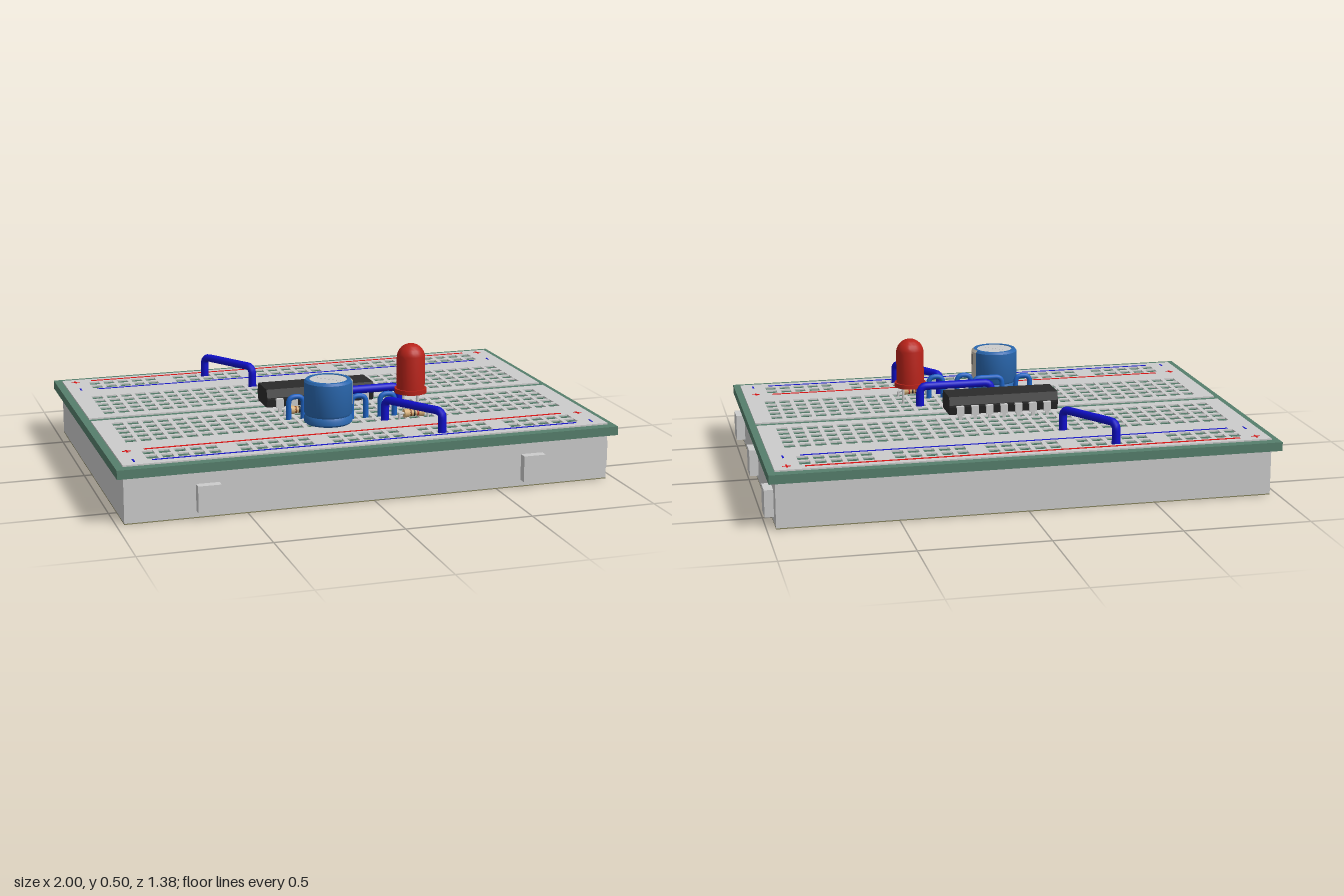
import * as THREE from 'three';
import { mergeGeometries, toCreasedNormals } from 'three/addons/utils/BufferGeometryUtils.js';

const PITCH = 0.0603;
const X0 = -0.877;            // first terminal column
const RAIL_X0 = -0.845;       // first rail column
const TOP = 0.228, PLATE_TOP = 0.222, PLATE_BOTTOM = 0.187;
const ROW = { f: 0.092, g: 0.153, h: 0.213, i: 0.274, j: 0.335 };
const col = (k) => X0 + k * PITCH;
const railCol = (k) => RAIL_X0 + k * PITCH;

const mat = (color, double) =>
  new THREE.MeshStandardMaterial({ color, side: double ? THREE.DoubleSide : THREE.FrontSide });
const GREY = mat(0xcccccc), GREEN = mat(0x567f6c), DARK = mat(0x2c3a35), BLACK = mat(0x2b2b2b);
const RED = mat(0xdd1111), BLUE = mat(0x1515cc), WIRE = mat(0x1010cc), JUMPER = mat(0x1c62c4);
const SLEEVE = mat(0x2a68b0), METAL = mat(0xc4c4c4), TAN = mat(0xd8b078), LED = mat(0xb8231a);

function add(parent, name, geometry, material) {
  const mesh = new THREE.Mesh(geometry, material);
  mesh.name = name;
  parent.add(mesh);
  return mesh;
}

// Box given by its lower and upper corners
function box(x0, x1, y0, y1, z0, z1) {
  return new THREE.BoxGeometry(x1 - x0, y1 - y0, z1 - z0)
    .translate((x0 + x1) / 2, (y0 + y1) / 2, (z0 + z1) / 2);
}

// Mirror-symmetric (z, y) profile extruded along x
function extrudeX(points, x0, x1) {
  const shape = new THREE.Shape(points.map(([z, y]) => new THREE.Vector2(z, y)));
  return new THREE.ExtrudeGeometry(shape, { depth: x1 - x0, bevelEnabled: false })
    .rotateY(Math.PI / 2).translate(x0, 0, 0);
}

function rectPath(Type, x0, x1, z0, z1) {
  return new Type([[x0, -z1], [x1, -z1], [x1, -z0], [x0, -z0]].map(([x, y]) => new THREE.Vector2(x, y)));
}

// Horizontal plate pierced by square holes of a given size
function piercedPlate(x0, x1, z0, z1, y0, y1, holes, size) {
  const shape = rectPath(THREE.Shape, x0, x1, z0, z1);
  const s = size / 2;
  shape.holes = holes.map(([x, z]) => rectPath(THREE.Path, x - s, x + s, z - s, z + s));
  return new THREE.ExtrudeGeometry(shape, { depth: y1 - y0, bevelEnabled: false })
    .rotateX(-Math.PI / 2).translate(0, y0, 0);
}

// Contact positions on one half of the board
function holesOnSide(side) {
  const list = [];
  for (const z of Object.values(ROW)) for (let k = 0; k < 30; k++) list.push([col(k), side * z]);
  for (const z of [0.511, 0.571])
    for (let k = 0; k < 29; k++) if (k % 6 !== 5) list.push([railCol(k), side * z]);
  return list;
}

// Bent wire: up, across and down, with rounded corners
function bridge([ax, az], [bx, bz], height, radius, bend) {
  const a = new THREE.Vector3(ax, height, az), b = new THREE.Vector3(bx, height, bz);
  const dir = b.clone().sub(a).normalize().multiplyScalar(bend);
  const down = (p, y) => new THREE.Vector3(p.x, y, p.z);
  const a1 = down(a, height - bend), a2 = a.clone().add(dir);
  const b1 = b.clone().sub(dir), b2 = down(b, height - bend);
  const path = new THREE.CurvePath();
  path.add(new THREE.LineCurve3(down(a, 0.195), a1));
  path.add(new THREE.QuadraticBezierCurve3(a1, a, a2));
  path.add(new THREE.LineCurve3(a2, b1));
  path.add(new THREE.QuadraticBezierCurve3(b1, b, b2));
  path.add(new THREE.LineCurve3(b2, down(b, 0.195)));
  return new THREE.TubeGeometry(path, 48, radius, 10);
}

function leg(x, z, top) {
  return new THREE.CylinderGeometry(0.006, 0.006, top - 0.195, 8).translate(x, (top + 0.195) / 2, z);
}

function buildBoard() {
  const g = new THREE.Group();
  g.name = 'board';
  // Base with central channel, and the adhesive sheet beneath
  add(g, 'base', extrudeX([[-0.65, 0.004], [0.65, 0.004], [0.65, PLATE_BOTTOM], [0.021, PLATE_BOTTOM],
    [0.021, 0.158], [-0.021, 0.158], [-0.021, PLATE_BOTTOM], [-0.65, PLATE_BOTTOM]], -0.97, 0.965), GREY);
  add(g, 'adhesiveSheet', box(-0.97, 0.965, 0, 0.004, -0.65, 0.65), mat(0x87845f));
  // Green plate with small sockets
  const back = holesOnSide(-1), front = holesOnSide(1);
  add(g, 'greenPlate', piercedPlate(-1, 0.992, -0.69, 0.69, PLATE_BOTTOM, PLATE_TOP, [...back, ...front], 0.022), GREEN);
  for (const [side, holes] of [[-1, back], [1, front]]) {
    const z0 = side > 0 ? 0.021 : -0.65, z1 = side > 0 ? 0.65 : -0.021;
    add(g, 'topCover', piercedPlate(-0.97, 0.965, z0, z1, PLATE_TOP, TOP, holes, 0.043), GREY);
    add(g, 'contactStrip', box(-0.92, 0.91, 0.1875, 0.19, z0 + 0.03, z1 - 0.03), DARK);
  }
  // Rail stripes and polarity marks
  const line = (name, x, z, w, d, m) => add(g, name, box(x - w / 2, x + w / 2, TOP - 0.001, TOP + 0.001, z - d / 2, z + d / 2), m);
  for (const [redZ, blueZ, plusZ, minusZ] of [[-0.616, -0.471, -0.605, -0.481], [0.465, 0.61, 0.475, 0.6]]) {
    line('redStripe', -0.002, redZ, 1.7, 0.012, RED);
    line('blueStripe', -0.002, blueZ, 1.7, 0.011, BLUE);
    for (const x of [-0.92, 0.915]) {
      line('plusMark', x, plusZ, 0.034, 0.007, RED);
      line('plusMark', x, plusZ, 0.007, 0.034, RED);
      line('minusMark', x, minusZ, 0.007, 0.034, BLUE);
    }
  }
  // Interlocking tabs on the front and on the +x end
  for (const x of [-0.653, 0.645]) add(g, 'frontTab', box(x - 0.045, x + 0.045, 0.028, 0.132, 0.64, 0.684), GREY);
  for (const z of [-0.54, 0, 0.54]) add(g, 'sideTab', box(0.96, 1, 0.028, 0.134, z - 0.045, z + 0.045), GREY);
  return g;
}

function buildChip() {
  const g = new THREE.Group();
  g.name = 'chip';
  add(g, 'chipBody', extrudeX([[-0.064, 0.237], [0.064, 0.237], [0.074, 0.27], [0.074, 0.278], [0.062, 0.311],
    [-0.062, 0.311], [-0.074, 0.278], [-0.074, 0.27]], -0.262, 0.19), BLACK);
  // Two rows of seven bent pins
  const pins = [];
  for (let k = 11; k <= 17; k++) for (const s of [-1, 1]) {
    const x = col(k), z = s * 0.088;
    pins.push(box(x - 0.015, x + 0.015, 0.268, 0.276, Math.min(s * 0.07, z), Math.max(s * 0.07, z)));
    pins.push(box(x - 0.015, x + 0.015, 0.238, 0.276, z - 0.004, z + 0.004));
    pins.push(box(x - 0.007, x + 0.007, 0.195, 0.238, z - 0.004, z + 0.004));
  }
  add(g, 'chipPins', mergeGeometries(pins), METAL);
  return g;
}

function buildLamp() {
  const g = new THREE.Group();
  g.name = 'lamp';
  const x = (col(19) + col(20)) / 2, z = ROW.h;
  const pts = [[0, 0.297], [0.065, 0.297], [0.065, 0.315], [0.057, 0.315]].map((p) => new THREE.Vector2(...p));
  for (let i = 0; i <= 10; i++) {
    const a = (i / 10) * Math.PI / 2;
    pts.push(new THREE.Vector2(0.057 * Math.cos(a), 0.441 + 0.057 * Math.sin(a)));
  }
  add(g, 'lampLens', toCreasedNormals(new THREE.LatheGeometry(pts, 32), 0.6).translate(x, 0, z), LED);
  add(g, 'lampLegs', mergeGeometries([leg(x - PITCH / 2, z, 0.3), leg(x + PITCH / 2, z, 0.3)]), METAL);
  return g;
}

function buildCapacitor() {
  const g = new THREE.Group();
  g.name = 'capacitor';
  const profile = [[0, 0.236], [0.088, 0.236], [0.095, 0.243], [0.095, 0.26], [0.089, 0.27], [0.095, 0.28],
    [0.095, 0.402], [0.088, 0.411], [0.074, 0.411], [0.074, 0.406], [0, 0.406]];
  add(g, 'sleeve', toCreasedNormals(new THREE.LatheGeometry(profile.map((p) => new THREE.Vector2(...p)), 40), 0.6), SLEEVE);
  add(g, 'topDisc', new THREE.CylinderGeometry(0.0735, 0.0735, 0.004, 40).translate(0, 0.407, 0), GREY);
  // Scored cross on the top
  for (const a of [Math.PI / 4, -Math.PI / 4])
    add(g, 'scoreLine', box(-0.055, 0.055, 0.4085, 0.4095, -0.002, 0.002).rotateY(a), METAL);
  // Pale polarity stripe with its dash
  const half = 0.42, stripe = (r0, r1, h, y) =>
    new THREE.CylinderGeometry(r0, r1, h, 10, 1, true, Math.PI / 2 - half, half * 2).translate(0, y, 0);
  const pale = mat(0xc4bcae, true);
  add(g, 'polarityStripe', mergeGeometries([stripe(0.0965, 0.0965, 0.122, 0.341), stripe(0.0885, 0.0965, 0.01, 0.407)]), pale);
  add(g, 'stripeDash', box(0.09, 0.0975, 0.345, 0.39, -0.006, 0.006), BLACK);
  add(g, 'capacitorLegs', mergeGeometries([leg(-0.03, 0, 0.24), leg(0.03, 0, 0.24)]), METAL);
  g.position.set(-0.088, 0, ROW.j);
  return g;
}

function buildResistor(k, z) {
  const g = new THREE.Group();
  g.name = 'resistor';
  const rod = (r, len, dx) => new THREE.CylinderGeometry(r, r, len, 16).rotateZ(Math.PI / 2).translate(col(k) + dx, 0.245, z);
  add(g, 'resistorBody', mergeGeometries([rod(0.0135, 0.082, 0), rod(0.017, 0.02, -0.031), rod(0.017, 0.02, 0.031)]), TAN);
  [0x8a4a20, 0x222222, 0xc03020].forEach((c, i) => add(g, 'resistorBand', rod(0.0142, 0.006, (i - 1) * 0.014), mat(c)));
  add(g, 'resistorLeads', bridge([col(k - 1), z], [col(k + 1), z], 0.245, 0.005, 0.01), METAL);
  return g;
}

export function createModel() {
  const model = new THREE.Group();
  model.name = 'prototypingBoard';
  model.add(buildBoard(), buildChip(), buildLamp(), buildCapacitor());
  model.add(buildResistor(12, ROW.g), buildResistor(19, ROW.j));
  // Long wires
  for (const [a, b] of [
    [[railCol(8), -0.571], [col(11), -ROW.j]],
    [[col(17), ROW.j], [railCol(19), 0.571]],
    [[col(14), ROW.g], [col(19), ROW.g]],
  ]) add(model, 'longWire', bridge(a, b, 0.308, 0.0165, 0.03), WIRE);
  // Short jumpers
  for (const [k0, k1, z] of [[11, 12, ROW.h], [13, 15, ROW.h], [15, 16, ROW.i], [17, 18, ROW.i]])
    add(model, 'jumper', bridge([col(k0), z], [col(k1), z], 0.315, 0.0105, 0.028), JUMPER);
  return model;
}
